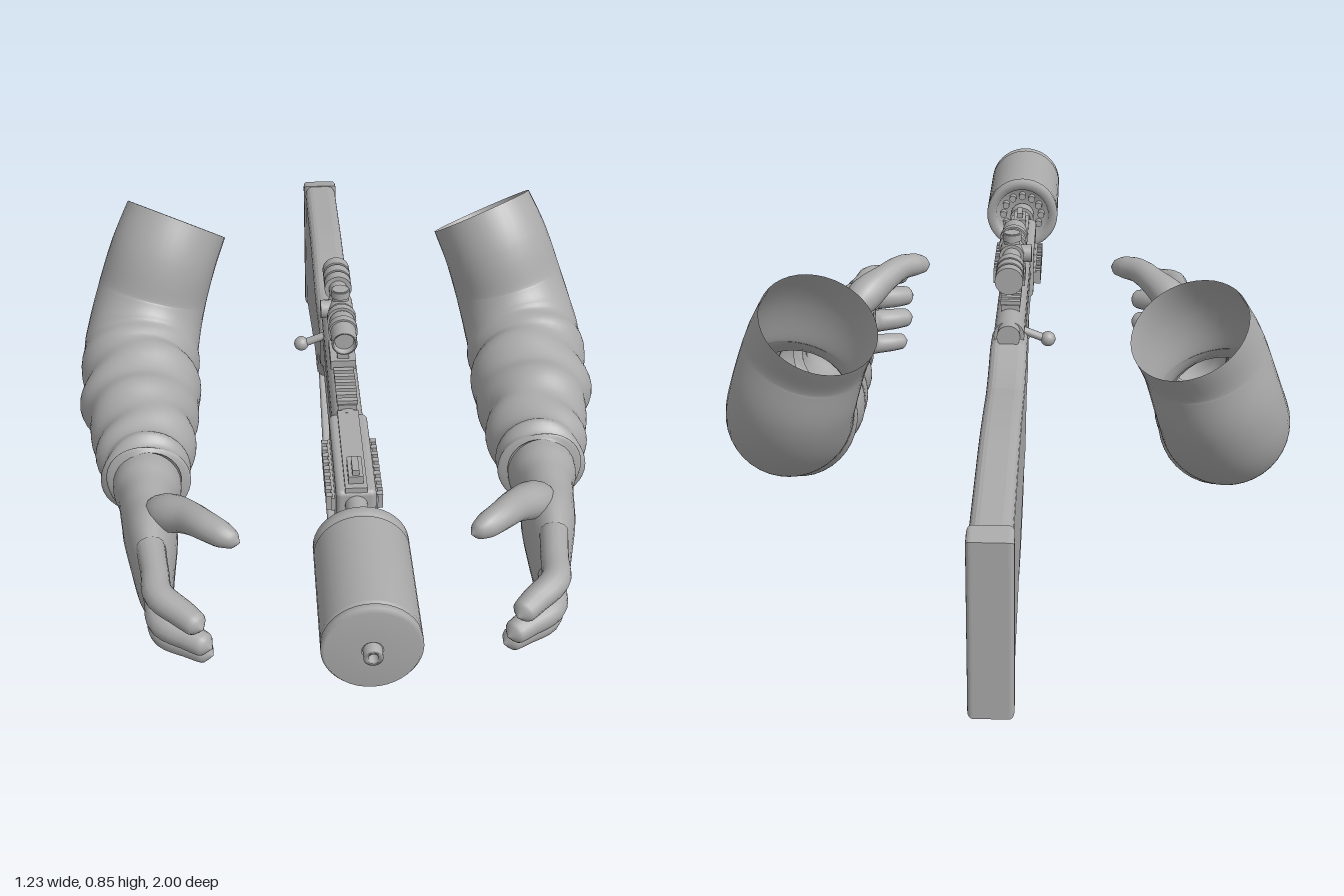
import * as THREE from 'three';
import { RoundedBoxGeometry } from 'three/addons/geometries/RoundedBoxGeometry.js';

const grey = new THREE.MeshStandardMaterial({ color: 0xaaaaaa, side: THREE.DoubleSide });
grey.name = 'plainGrey';

function add(parent, name, geo, x = 0, y = 0, z = 0) {
  const m = new THREE.Mesh(geo, grey);
  m.name = name;
  m.position.set(x, y, z);
  parent.add(m);
  return m;
}
const box = (w, h, d) => new THREE.BoxGeometry(w, h, d);
const rod = (r0, r1, len, n = 24) => new THREE.CylinderGeometry(r0, r1, len, n).rotateX(Math.PI / 2);
const post = (r, len, n = 18) => new THREE.CylinderGeometry(r, r, len, n);

// lathe turned so that its axis runs along z; profile is [radius, z], ordered back to front
function turned(profile, n = 40) {
  const g = new THREE.LatheGeometry(profile.map(p => new THREE.Vector2(p[0], p[1])), n);
  return g.rotateX(Math.PI / 2).toNonIndexed();
}

// side silhouette (z, y) extruded across x
function slab(shape, width, bevel) {
  const d = width - 2 * bevel;
  const g = new THREE.ExtrudeGeometry(shape, { depth: d, bevelEnabled: bevel > 0, bevelThickness: bevel,
    bevelSize: bevel, bevelOffset: -bevel, bevelSegments: 4, curveSegments: 16 });
  return g.translate(0, 0, -d / 2).rotateY(-Math.PI / 2);
}

// smooth tube through stations [x, y, z, halfWidth, halfHeight], with an optional fold rule
function loft(st, rings, sides, fold = () => 0) {
  const path = new THREE.CatmullRomCurve3(st.map(s => new THREE.Vector3(s[0], s[1], s[2])));
  const size = new THREE.CatmullRomCurve3(st.map(s => new THREE.Vector3(s[3], s[4], 0)));
  const pos = [], idx = [];
  for (let i = 0; i <= rings; i++) {
    const t = i / rings, c = path.getPoint(t), r = size.getPoint(t), tan = path.getTangent(t);
    const side = new THREE.Vector3(1, 0, 0).addScaledVector(tan, -tan.x).normalize();
    const up = tan.clone().cross(side);
    for (let j = 0; j < sides; j++) {
      const a = j / sides * Math.PI * 2, f = fold(t, a);
      const p = c.clone().addScaledVector(side, Math.cos(a) * (r.x + f)).addScaledVector(up, Math.sin(a) * (r.y + f));
      pos.push(p.x, p.y, p.z);
      if (i < rings) {
        const k = i * sides + j, l = i * sides + (j + 1) % sides;
        idx.push(k, l, k + sides, l, l + sides, k + sides);
      }
    }
  }
  const g = new THREE.BufferGeometry();
  g.setAttribute('position', new THREE.Float32BufferAttribute(pos, 3));
  g.setIndex(idx);
  g.computeVertexNormals();
  return g;
}

function mirrorX(geo) {
  const g = geo.clone().scale(-1, 1, 1), ix = g.index.array;
  for (let i = 0; i < ix.length; i += 3) [ix[i], ix[i + 1]] = [ix[i + 1], ix[i]];
  g.computeVertexNormals();
  return g;
}

// one finger: knuckle, middle joint, tip, radius
function finger(a, b, c, r) {
  const mix = (p, q, k) => p.map((v, i) => v + (q[i] - v) * k);
  return loft([[...a, r, r], [...mix(a, b, 0.55), r * 0.95, r], [...b, r, r], [...mix(b, c, 0.55), r * 0.92, r * 0.92],
    [...mix(b, c, 0.85), r * 0.8, r * 0.8], [...c, 0.001, 0.001]], 24, 14);
}

function armParts() {
  // cloth folds, strongest from the elbow to the cuff
  const fold = (t, a) => {
    const k = THREE.MathUtils.smoothstep(t, 0.3, 0.5);
    return k * (0.005 * Math.sin(t * 62 + 1.6 * Math.sin(a + 1)) + 0.004 * Math.sin(t * 37 + 2 * a));
  };
  return {
    sleeve: loft([[-.375, .78, -.445, .126, .126], [-.41, .705, -.405, .13, .13], [-.445, .6, -.38, .134, .135],
      [-.467, .525, -.325, .138, .14], [-.475, .48, -.235, .14, .14], [-.468, .46, -.11, .137, .132],
      [-.46, .45, .01, .118, .117], [-.45, .447, .12, .102, .1], [-.447, .447, .175, .094, .094],
      [-.446, .447, .195, .078, .084]], 90, 40, fold),
    palm: loft([[-.447, .447, .15, .074, .08], [-.444, .447, .21, .076, .084], [-.441, .447, .26, .064, .078],
      [-.437, .445, .32, .06, .08], [-.43, .435, .39, .057, .098], [-.424, .415, .46, .046, .1],
      [-.418, .405, .52, .036, .085], [-.415, .4, .55, .004, .03]], 40, 28),
    thumb: loft([[-.43, .475, .34, .03, .03], [-.39, .515, .39, .045, .042], [-.345, .54, .44, .035, .036],
      [-.31, .552, .485, .031, .032], [-.275, .55, .515, .028, .029], [-.25, .545, .53, .018, .02],
      [-.238, .543, .537, .001, .001]], 26, 16),
    indexFinger: finger([-.425, .487, .47], [-.405, .475, .61], [-.315, .455, .7], .031),
    middleFinger: finger([-.425, .43, .48], [-.4, .41, .62], [-.3, .395, .69], .031),
    ringFinger: finger([-.425, .375, .47], [-.4, .355, .59], [-.3, .345, .655], .03),
    littleFinger: finger([-.425, .33, .44], [-.4, .307, .545], [-.31, .297, .6], .026),
  };
}

function buildRifle(rifle) {
  const Y = 0.637;
  // muzzle can with grooves near both ends
  add(rifle, 'muzzleCan', turned([[.02, -.98], [.088, -.98], [.094, -.972], [.094, -.96], [.09, -.957], [.09, -.952], [.094, -.949],
    [.094, -.705], [.09, -.702], [.09, -.695], [.094, -.692], [.094, -.676], [.088, -.67], [.07, -.67], [.066, -.69], [.02, -.69]])
    .rotateY(Math.PI), 0, Y, 0);
  add(rifle, 'muzzleTip', turned([[.009, .97], [.009, 1], [.018, 1], [.018, .97]]).scale(1, 1, 1), 0, Y, 0);
  add(rifle, 'muzzleDisc', rod(.086, .086, .02, 36), 0, Y, .968);
  for (let i = 0; i < 12; i++) {
    const a = i / 12 * Math.PI * 2;
    add(rifle, 'canBackStud', rod(.009, .009, .03, 10), .05 * Math.cos(a), Y + .05 * Math.sin(a), .685);
  }
  // barrel
  add(rifle, 'barrel', rod(.023, .023, .45), 0, Y, .5);
  add(rifle, 'barrelCollar', rod(.031, .031, .04), 0, Y, .655);
  // handguard with rails on the sides and below
  add(rifle, 'handguard', new RoundedBoxGeometry(.082, .11, .285, 3, .012), 0, .615, .405);
  add(rifle, 'handguardTopRail', box(.045, .012, .28), 0, .672, .405);
  for (let i = 0; i < 9; i++) {
    const z = .3 + i * .0235;
    for (const s of [-1, 1]) add(rifle, 'sideRailTooth', box(.013, .034, .013), s * .052, .605, z);
    add(rifle, 'lowerRailTooth', box(.04, .01, .013), 0, .557, z);
  }
  for (const s of [-1, 1]) add(rifle, 'sideRail', box(.012, .03, .21), s * .042, .605, .395);
  add(rifle, 'frontSightBase', box(.03, .02, .07), 0, .685, .495);
  add(rifle, 'frontSightBlade', box(.014, .014, .05), 0, .7, .5);
  // foregrip
  add(rifle, 'foregripMount', box(.045, .03, .07), 0, .545, .4);
  add(rifle, 'foregrip', post(.028, .14), 0, .47, .4);
  add(rifle, 'foregripFoot', post(.03, .015), 0, .405, .4);
  // receiver, bolt and top rail
  add(rifle, 'receiver', rod(.034, .034, .45), 0, .645, .05);
  add(rifle, 'receiverBody', new RoundedBoxGeometry(.07, .085, .46, 3, .012), 0, .595, .045);
  add(rifle, 'topRail', box(.04, .025, .36), 0, .675, .08);
  for (let i = 0; i < 15; i++) add(rifle, 'topRailTooth', box(.045, .01, .013), 0, .691, .25 - i * .0243);
  add(rifle, 'boltBody', rod(.022, .026, .09), 0, .655, -.16);
  add(rifle, 'boltHandle', post(.009, .07, 12), -.055, .625, -.116).rotation.z = -1.2;
  add(rifle, 'boltKnob', new THREE.SphereGeometry(.017, 16, 12), -.085, .615, -.116);
  // magazine, trigger and guard
  add(rifle, 'magazine', new RoundedBoxGeometry(.05, .09, .14, 2, .008), 0, .535, .1);
  const guard = new THREE.CatmullRomCurve3([[.03, .56], [.02, .515], [-.03, .497], [-.09, .505], [-.12, .55]]
    .map(p => new THREE.Vector3(0, p[1], p[0])));
  add(rifle, 'triggerGuard', new THREE.TubeGeometry(guard, 24, .007, 8));
  add(rifle, 'trigger', box(.01, .045, .012), 0, .54, -.045).rotation.x = .25;

  // stock with a drop grip and a butt pad
  const s = new THREE.Shape();
  s.moveTo(-.955, .607);
  s.lineTo(-.955, .237);
  s.quadraticCurveTo(-.68, .318, -.44, .392);
  s.quadraticCurveTo(-.36, .412, -.3, .408);
  s.quadraticCurveTo(-.275, .412, -.265, .44);
  s.quadraticCurveTo(-.235, .505, -.17, .52);
  s.quadraticCurveTo(-.12, .53, -.1, .56);
  s.lineTo(-.1, .635);
  s.lineTo(-.2, .64);
  s.quadraticCurveTo(-.28, .612, -.38, .612);
  s.quadraticCurveTo(-.55, .632, -.7, .622);
  s.lineTo(-.955, .607);
  add(rifle, 'stock', slab(s, .082, .02));
  const p = new THREE.Shape([[-1, .6], [-1, .222], [-.953, .235], [-.953, .609]].map(v => new THREE.Vector2(...v)));
  add(rifle, 'buttPad', slab(p, .088, .01));

  // scope, its mount and adjustment knobs
  const S = 0.775;
  add(rifle, 'scopeTube', rod(.021, .021, .3), 0, S, -.01);
  add(rifle, 'scopeFront', turned([[.022, .045], [.028, .06], [.028, .152], [.023, .152], [.021, .13], [0, .13]].map(v => [v[0], v[1]])), 0, S, 0);
  for (const z of [-.1, -.133, -.167]) add(rifle, 'eyepieceRing', rod(.031, .031, .026), 0, S, z);
  add(rifle, 'scopeTurret', rod(.028, .028, .05), 0, S, 0);
  add(rifle, 'elevationKnob', post(.018, .05), 0, S + .025, 0);
  add(rifle, 'elevationCap', post(.021, .016), 0, S + .04, 0);
  add(rifle, 'windageKnob', post(.02, .045), -.022, S, 0).rotation.z = Math.PI / 2;
  add(rifle, 'scopeMount', box(.026, .06, .07), 0, .725, .07);
  add(rifle, 'mountFoot', box(.056, .022, .09), 0, .697, .07);
  for (const z of [.045, .095]) add(rifle, 'scopeRing', rod(.032, .032, .018), 0, S, z);

  // carrying strap with its swivels
  const strap = [[.5, .52], [.475, .42], [.41, .3], [.25, .125], [.06, .035], [-.13, .004], [-.34, .055], [-.56, .17], [-.7, .262]]
    .map(([z, y]) => [0, y, z, .022, .003]);
  add(rifle, 'strap', loft(strap, 60, 8));
  for (const [y, z] of [[.53, .5], [.275, -.705]]) {
    add(rifle, 'strapSwivel', new THREE.TorusGeometry(.023, .005, 8, 20), 0, y, z);
    add(rifle, 'swivelStud', post(.009, .04, 10), 0, y + .035, z);
  }
}

export function createModel() {
  const model = new THREE.Group();
  model.name = 'rifleWithArms';
  const rifle = new THREE.Group(), right = new THREE.Group(), left = new THREE.Group();
  rifle.name = 'rifle';
  right.name = 'rightArm';
  left.name = 'leftArm';
  buildRifle(rifle);
  for (const [name, geo] of Object.entries(armParts())) {
    add(right, name, geo);
    add(left, name, mirrorX(geo));
  }
  model.add(rifle, right, left);
  return model;
}
